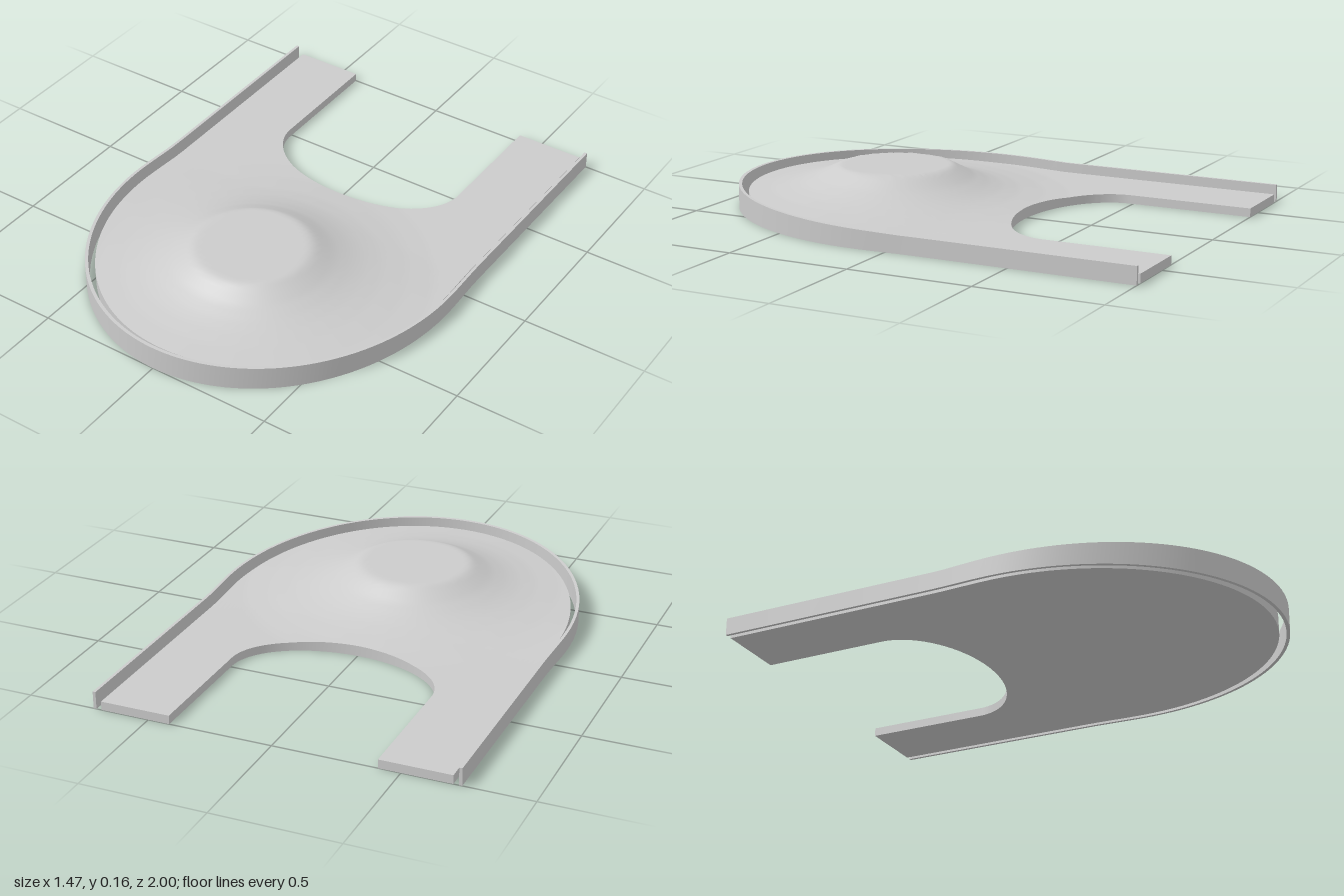
import * as THREE from 'three';
import { toCreasedNormals } from 'three/addons/utils/BufferGeometryUtils.js';

const { clamp, lerp, smoothstep } = THREE.MathUtils;
const ARM = 24, ARC = 80;

// U-shaped plan curve: straight arm, half ellipse round the front, straight arm
function uPath(xArm, xArc, zCentre, zFront) {
  const half = [];
  for (let i = 0; i < ARM; i++) {
    const z = lerp(-1, zCentre, i / ARM);
    half.push([lerp(xArm, xArc, smoothstep(z, -0.12, zCentre)), z]);
  }
  const arc = [];
  for (let i = 0; i <= ARC; i++) {
    const a = Math.PI * i / ARC;
    arc.push([xArc * Math.cos(a), zCentre + (zFront - zCentre) * Math.sin(a)]);
  }
  return [...half, ...arc, ...half.map(([x, z]) => [-x, z]).reverse()];
}

// Solid standing on y = 0 between two plan curves, its top given by height(x, z)
function solidBetween(inner, outer, across, height) {
  const pos = [], index = [], ring = across + 3, n = inner.length;
  for (let i = 0; i < n; i++) {
    for (let j = 0; j <= across; j++) {
      const x = lerp(inner[i][0], outer[i][0], j / across);
      const z = lerp(inner[i][1], outer[i][1], j / across);
      pos.push(x, height(x, z), z);
    }
    pos.push(outer[i][0], 0, outer[i][1], inner[i][0], 0, inner[i][1]);
  }
  for (let i = 0; i < n - 1; i++) {
    for (let j = 0; j < ring; j++) {
      const k = (j + 1) % ring, a = i * ring, b = a + ring;
      index.push(a + j, b + j, b + k, a + j, b + k, a + k);
    }
  }
  // arm end caps
  const e = (n - 1) * ring, m = across;
  index.push(0, m, m + 1, 0, m + 1, m + 2);
  index.push(e, e + m + 1, e + m, e, e + m + 2, e + m + 1);
  const geo = new THREE.BufferGeometry();
  geo.setAttribute('position', new THREE.Float32BufferAttribute(pos, 3));
  geo.setIndex(index);
  return toCreasedNormals(geo, 0.5);
}

// gentle rise of the whole piece towards the front
const rise = z => 0.03 * clamp((z + 0.06) / 1.06, 0, 1);

// flat-topped mound: blend weight against distance from its centre
const MOUND = [[0.23, 1], [0.27, 0.82], [0.32, 0.6], [0.38, 0.41], [0.43, 0.29], [0.5, 0.17], [0.6, 0.06], [0.7, 0]];
function moundWeight(r) {
  if (r <= MOUND[0][0]) return 1;
  for (let i = 1; i < MOUND.length; i++) {
    const [r0, w0] = MOUND[i - 1], [r1, w1] = MOUND[i];
    if (r < r1) return lerp(w0, w1, (r - r0) / (r1 - r0));
  }
  return 0;
}
const deckHeight = (x, z) => lerp(0.035 + rise(z), 0.16, moundWeight(Math.hypot(x, z - 0.367)));
const rimHeight = (x, z) => 0.07 + rise(z);

export function createModel() {
  const group = new THREE.Group();
  const material = new THREE.MeshStandardMaterial({ color: 0xcccccc });
  const add = (name, geometry) => {
    const mesh = new THREE.Mesh(geometry, material);
    mesh.name = name;
    group.add(mesh);
  };

  // horseshoe deck with the mound
  add('deck', solidBetween(uPath(0.413, 0.413, -0.49, -0.225), uPath(0.696, 0.704, 0.13, 0.957), 64, deckHeight));

  // thin wall running round the deck with a narrow gap
  add('rimWall', solidBetween(uPath(0.717, 0.725, 0.13, 0.986), uPath(0.729, 0.737, 0.13, 1), 1, rimHeight));

  return group;
}
